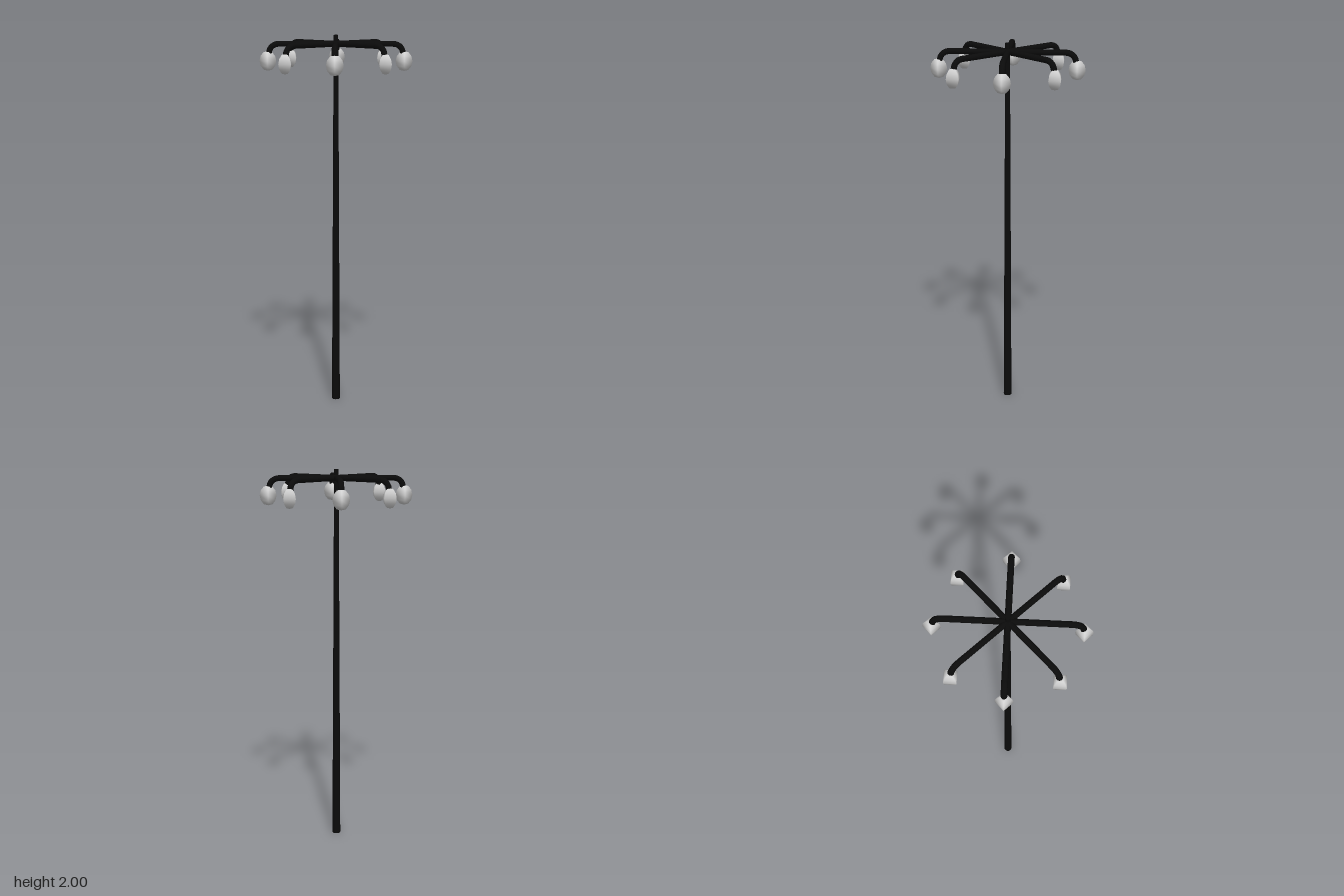
import * as THREE from 'three';

export function createModel() {
  const model = new THREE.Group();
  const blackMetal = new THREE.MeshStandardMaterial({ color: 0x0b0b0b });
  const lampGlass = new THREE.MeshStandardMaterial({ color: 0xd2d2d2 });

  // Tapered pole
  const pole = new THREE.Mesh(new THREE.CylinderGeometry(0.012, 0.022, 2, 12), blackMetal);
  pole.name = 'pole';
  pole.position.y = 1;
  model.add(pole);

  // Arm path: straight out from the pole, then a quarter bend down to the lamp
  const path = new THREE.CurvePath();
  path.add(new THREE.LineCurve3(new THREE.Vector3(0, 1.954, 0), new THREE.Vector3(0.295, 1.954, 0)));
  path.add(new THREE.CubicBezierCurve3(
    new THREE.Vector3(0.295, 1.954, 0), new THREE.Vector3(0.328, 1.954, 0),
    new THREE.Vector3(0.35, 1.934, 0), new THREE.Vector3(0.35, 1.9, 0)));
  const armGeometry = new THREE.TubeGeometry(path, 32, 0.0155, 10);

  // Four-sided rounded lamp, one corner pointing outward
  const profile = [[0, -0.051], [0.022, -0.046], [0.038, -0.026], [0.044, 0],
    [0.038, 0.026], [0.022, 0.046], [0, 0.051]].map(([r, y]) => new THREE.Vector2(r, y));
  const lampGeometry = new THREE.LatheGeometry(profile, 4);

  // Eight arms around the pole
  for (let i = 0; i < 8; i++) {
    const branch = new THREE.Group();
    branch.name = 'lampArm' + (i + 1);
    const arm = new THREE.Mesh(armGeometry, blackMetal);
    arm.name = 'arm';
    const lamp = new THREE.Mesh(lampGeometry, lampGlass);
    lamp.name = 'lamp';
    lamp.position.set(0.356, 1.865, 0);
    branch.add(arm, lamp);
    branch.rotation.y = (i * Math.PI) / 4;
    model.add(branch);
  }
  return model;
}
